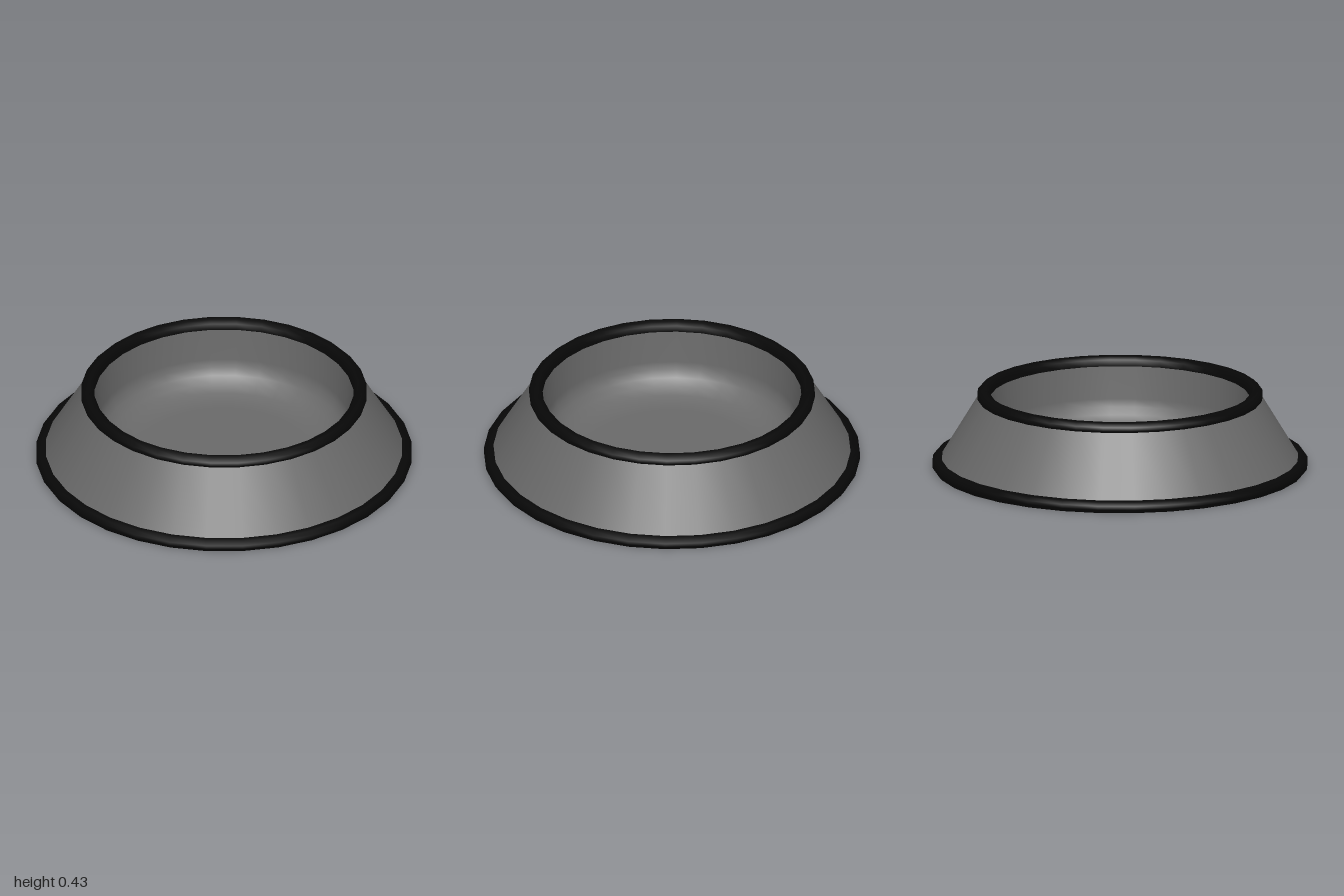
import * as THREE from 'three';

const SIDES = 32;

export function createModel() {
  const group = new THREE.Group();
  const steel = new THREE.MeshStandardMaterial({ color: 0x6a6a6a });
  steel.name = 'brushed grey';
  const rubber = new THREE.MeshStandardMaterial({ color: 0x070707 });
  rubber.name = 'black rubber';

  // Revolve a radius/height profile; upward runs face outward
  const revolve = (name, material, profile) => {
    const points = profile.map(([r, y]) => new THREE.Vector2(r, y));
    const mesh = new THREE.Mesh(new THREE.LatheGeometry(points, SIDES), material);
    mesh.name = name;
    group.add(mesh);
  };

  // Bowl profile from centre to rim, with a broad rounded corner
  const bowl = (drop) => {
    const profile = [[0, 0.045 - drop]];
    for (let i = 0; i <= 6; i++) {
      const a = (i / 6) * Math.PI / 2;
      profile.push([0.44 + 0.235 * Math.sin(a), 0.205 - drop - 0.16 * Math.cos(a)]);
    }
    profile.push([0.695, 0.41 - drop]);
    return profile;
  };

  // Sloping outer wall
  revolve('outerWall', steel, [[0.955, 0.05], [0.75, 0.39]]);

  // Bowl inside and its underside
  revolve('bowlInterior', steel, bowl(0).reverse());
  revolve('bowlUnderside', rubber, bowl(0.01));

  // Inner face of the sloping wall
  revolve('wallLining', rubber, [[0.74, 0.39], [0.945, 0.05]]);

  // Rounded rim at the mouth
  revolve('topRim', rubber, [
    [0.69, 0.38], [0.755, 0.38], [0.76, 0.39], [0.76, 0.41], [0.74, 0.43],
    [0.71, 0.43], [0.69, 0.415], [0.69, 0.38],
  ]);

  // Rounded foot ring
  revolve('footRing', rubber, [
    [0.94, 0], [0.985, 0], [1, 0.02], [1, 0.04], [0.985, 0.06],
    [0.95, 0.06], [0.93, 0.05], [0.93, 0.01], [0.94, 0],
  ]);

  return group;
}
